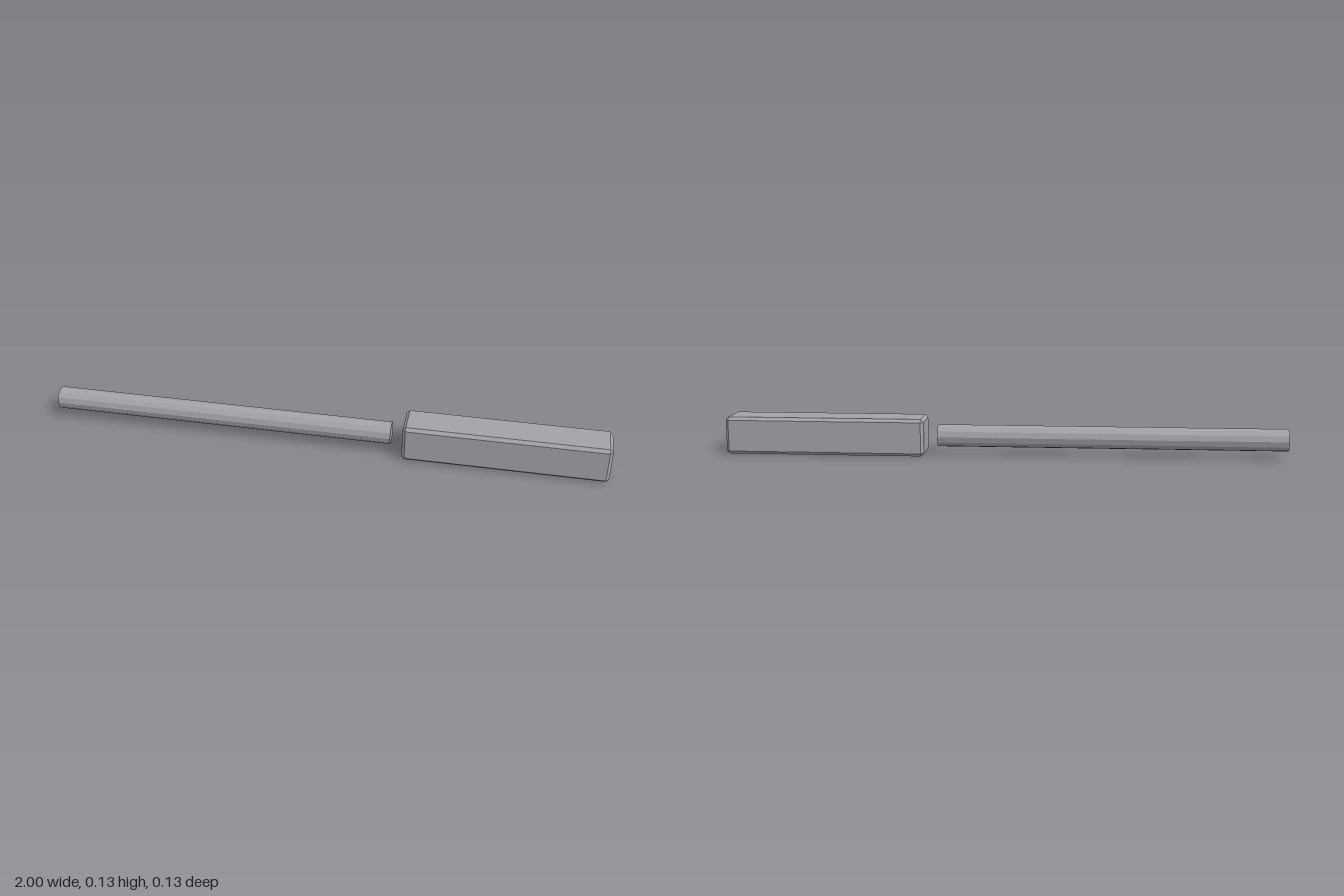
import * as THREE from 'three';
import { ConvexGeometry } from 'three/addons/geometries/ConvexGeometry.js';

// Box with every edge cut at 45 degrees: three points at each corner
function chamferedBox(width, height, depth, cut) {
  const half = [width / 2, height / 2, depth / 2];
  const points = [];
  for (const sx of [-1, 1]) for (const sy of [-1, 1]) for (const sz of [-1, 1]) {
    const sign = [sx, sy, sz];
    for (let axis = 0; axis < 3; axis++) {
      points.push(new THREE.Vector3(
        ...half.map((h, i) => sign[i] * (i === axis ? h : h - cut))));
    }
  }
  return new ConvexGeometry(points);
}

export function createModel() {
  const group = new THREE.Group();
  const grey = new THREE.MeshStandardMaterial({ color: 0xa3a2a7 });
  grey.name = 'grey';
  const centreY = 0.067;

  // Chamfered block on the model's left
  const block = new THREE.Mesh(chamferedBox(0.717, 0.134, 0.134, 0.011), grey);
  block.name = 'block';
  block.position.set(0.6415, centreY, 0);
  group.add(block);

  // Faceted rod, separated from the block by a small gap
  const rodGeometry = new THREE.CylinderGeometry(0.04, 0.04, 1.238, 12)
    .rotateZ(Math.PI / 2).toNonIndexed();
  rodGeometry.computeVertexNormals();
  const rod = new THREE.Mesh(rodGeometry, grey);
  rod.name = 'rod';
  rod.position.set(-0.381, centreY, 0);
  group.add(rod);

  return group;
}
